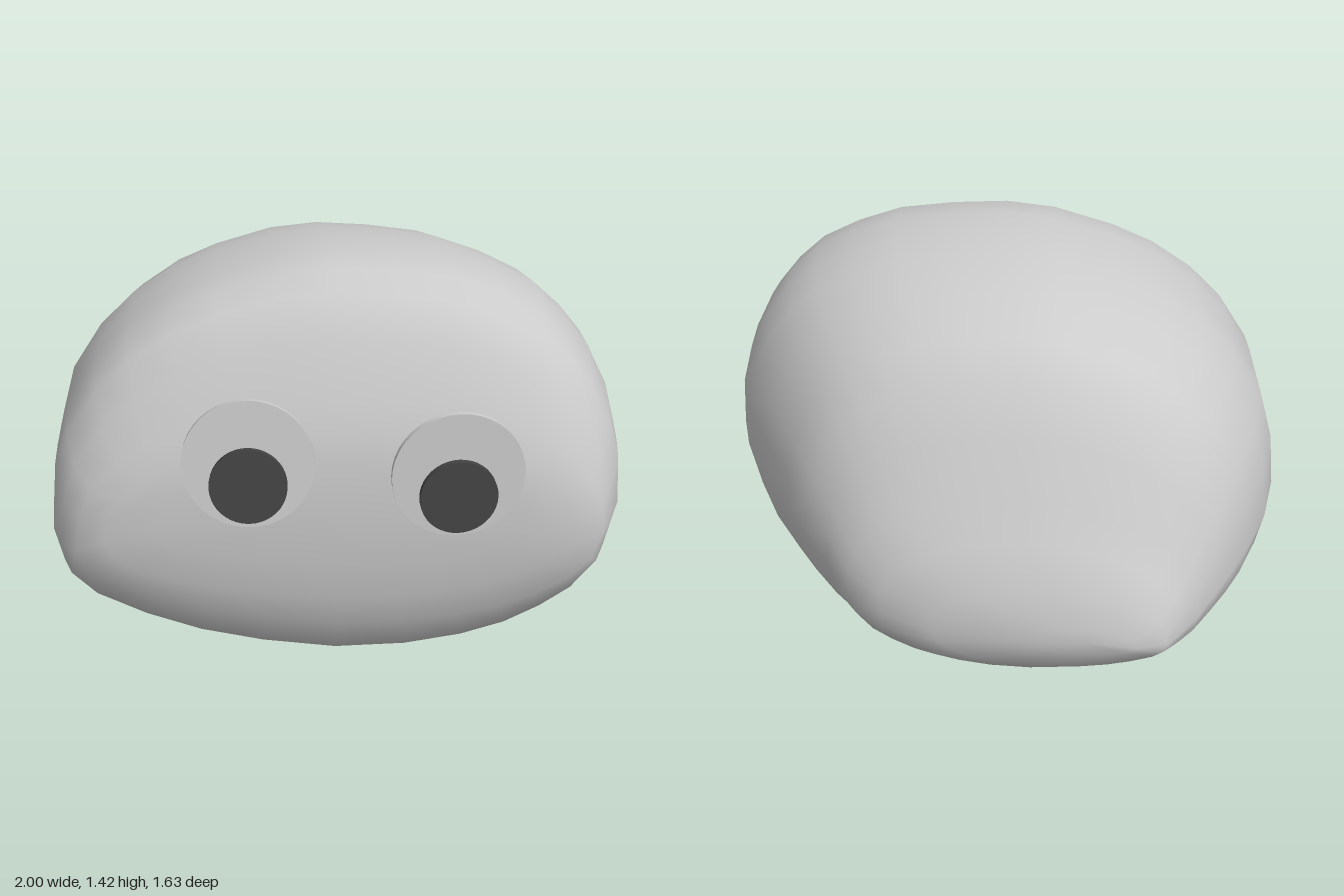
import * as THREE from 'three';

// Outline of the stone seen from the front, clockwise from the top
const outline = [
  [0, 1.42], [.2, 1.41], [.4, 1.385], [.56, 1.33], [.7, 1.26], [.8, 1.17], [.88, 1.07], [.95, .93],
  [.99, .78], [1, .6], [.96, .42], [.87, .29], [.76, .2], [.63, .12], [.47, .06], [.26, .015],
  [0, 0], [-.27, .035], [-.5, .09], [-.7, .17], [-.88, .27], [-.97, .37], [-1, .5], [-.98, .7],
  [-.93, .88], [-.82, 1.05], [-.7, 1.17], [-.55, 1.27], [-.4, 1.335], [-.18, 1.4],
];

// Cross-sections from front to back: z, xMin, xMax, yMin, yMax
const sections = [
  [.73, -.6, .66, .47, .83],
  [.71, -.76, .8, .32, .94],
  [.68, -.86, .91, .2, 1.04],
  [.61, -.92, .945, .06, 1.23],
  [.53, -.955, .98, .025, 1.36],
  [.43, -.97, .99, .005, 1.41],
  [.3, -.98, 1, 0, 1.425],
  [.15, -.99, .995, 0, 1.415],
  [0, -1, .955, 0, 1.4],
  [-.2, -.96, .86, .005, 1.35],
  [-.38, -.89, .745, .025, 1.27],
  [-.48, -.835, .67, .045, 1.16],
  [-.57, -.775, .58, .08, 1],
  [-.65, -.71, .5, .11, .81],
  [-.72, -.655, .39, .16, .68],
  [-.78, -.6, .2, .215, .54],
  [-.81, -.5, -.15, .3, .4],
];

function stoneGeometry() {
  const positions = [], index = [], n = outline.length;
  for (const [z, x0, x1, y0, y1] of sections) {
    for (const [x, y] of outline) {
      positions.push(x0 + (x1 - x0) * (x + 1) / 2, y0 + (y1 - y0) * y / 1.42, z);
    }
  }
  for (let i = 0; i < sections.length - 1; i++) {
    for (let j = 0; j < n; j++) {
      const a = i * n + j, b = i * n + (j + 1) % n;
      index.push(a, b, a + n, b, b + n, a + n);
    }
  }
  // Close both ends with a fan
  const last = (sections.length - 1) * n, front = sections.length * n;
  for (const s of [sections[0], sections[sections.length - 1]]) {
    positions.push((s[1] + s[2]) / 2, (s[3] + s[4]) / 2, s[0] + Math.sign(s[0]) * .003);
  }
  for (let j = 0; j < n; j++) {
    const k = (j + 1) % n;
    index.push(front, k, j, front + 1, last + j, last + k);
  }
  const g = new THREE.BufferGeometry();
  g.setAttribute('position', new THREE.Float32BufferAttribute(positions, 3));
  g.setIndex(index);
  g.computeVertexNormals();
  return g;
}

// Thin round disc facing +z
function disc(name, radius, depth, color) {
  const g = new THREE.CylinderGeometry(radius, radius, depth, 40).rotateX(Math.PI / 2);
  const mesh = new THREE.Mesh(g, new THREE.MeshStandardMaterial({ color }));
  mesh.name = name;
  return mesh;
}

// Loose-pupil eye: pale disc with a small dark disc resting low on it
function eye(name, x, y, z, tiltX, tiltY) {
  const group = new THREE.Group();
  group.name = name;
  const pupil = disc('pupil', .128, .02, 0x444444);
  pupil.position.set(0, -.07, .02);
  group.add(disc('eyeWhite', .218, .02, 0xcccccc), pupil);
  group.position.set(x, y, z);
  group.rotation.set(tiltX, tiltY, 0);
  return group;
}

export function createModel() {
  const model = new THREE.Group();
  model.name = 'stoneWithEyes';
  const stone = new THREE.Mesh(stoneGeometry(), new THREE.MeshStandardMaterial({ color: 0xcccccc }));
  stone.name = 'stone';
  model.add(
    stone,
    eye('rightEye', -.272, .85, .74, -.12, 0),
    eye('leftEye', .408, .825, .773, -.02, .09),
  );
  return model;
}
